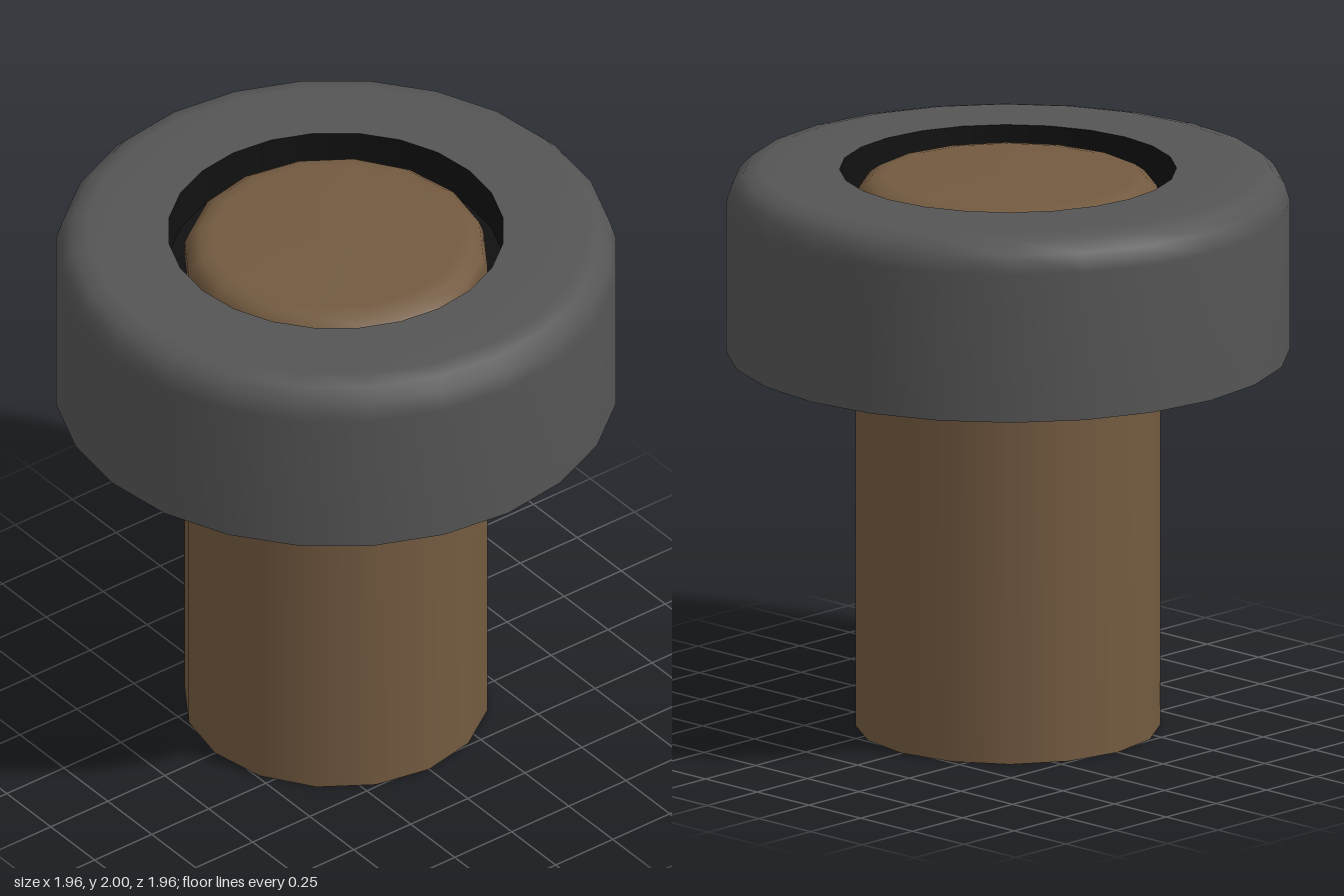
import * as THREE from 'three';

const rubber = new THREE.MeshStandardMaterial({ color: 0x555555 });
rubber.name = 'greyRubber';
const wood = new THREE.MeshStandardMaterial({ color: 0x735a40 });
wood.name = 'brownWood';
const recess = new THREE.MeshStandardMaterial({ color: 0x111111 });
recess.name = 'blackRecess';

// Turned part from a [radius, height] profile; a repeated point makes a sharp edge.
function turned(name, profile, sides, material) {
  const points = profile.map(([r, y]) => new THREE.Vector2(r, y));
  const mesh = new THREE.Mesh(new THREE.LatheGeometry(points, sides), material);
  mesh.name = name;
  return mesh;
}

export function createModel() {
  const group = new THREE.Group();
  group.name = 'mallet';

  // Thick collar with a rounded upper rim
  group.add(turned('collar', [
    [0.5, 1.35], [0.98, 1.35], [0.98, 1.35],
    [0.98, 1.88], [0.96, 1.945], [0.92, 1.985], [0.86, 2], [0.585, 2],
  ], 24, rubber));

  // Dark wall and floor of the gap between collar and shaft
  group.add(turned('recess', [
    [0.585, 2], [0.585, 1.85], [0.585, 1.85], [0.48, 1.85],
  ], 24, recess));

  // Straight shaft with a softened top edge
  group.add(turned('shaft', [
    [0, 0], [0.53, 0], [0.53, 0],
    [0.53, 1.9], [0.515, 1.94], [0.48, 1.965], [0.43, 1.975], [0, 1.98],
  ], 16, wood));

  return group;
}
